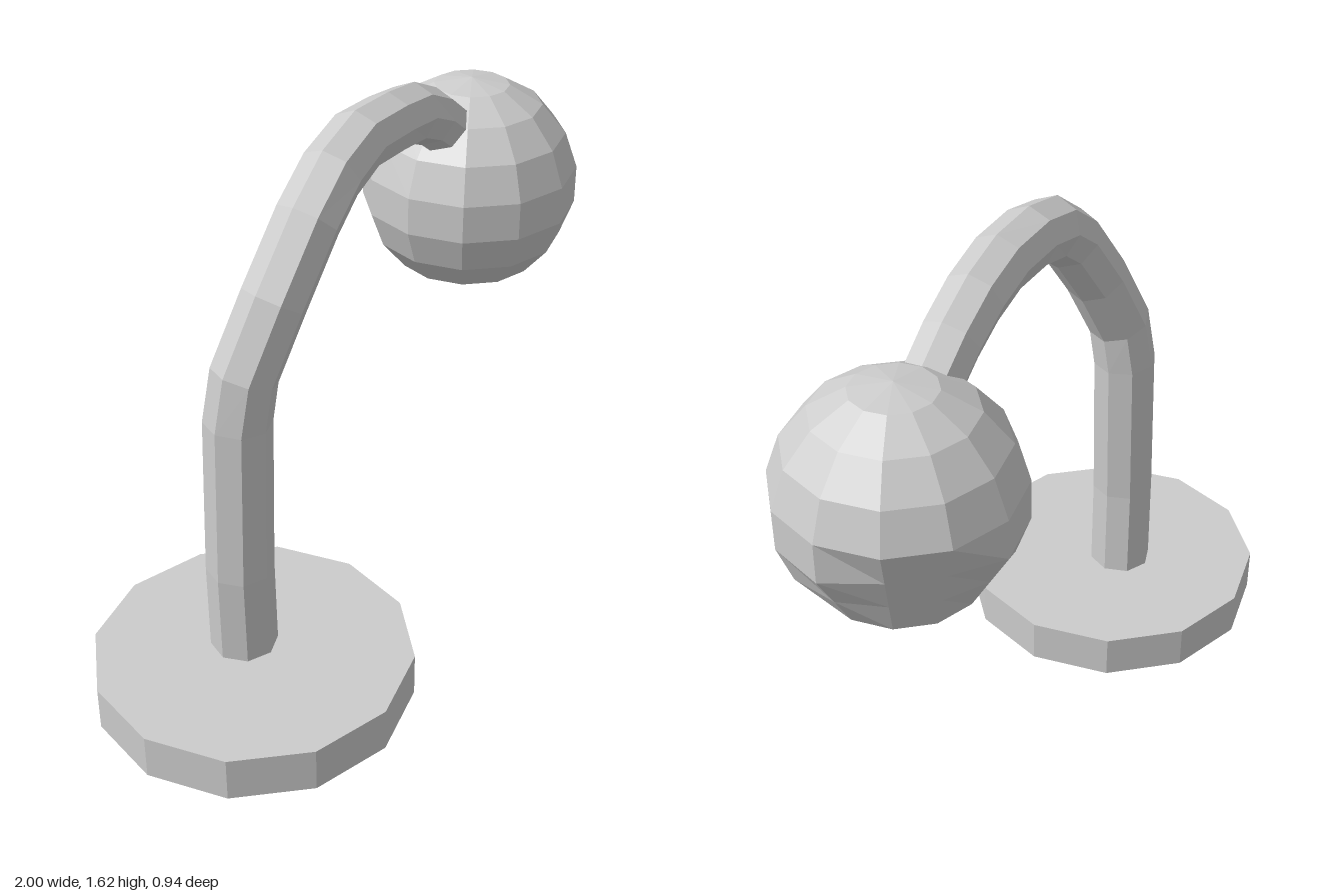
import * as THREE from 'three';

const mat = new THREE.MeshStandardMaterial({ color: 0xcccccc, flatShading: true, side: THREE.DoubleSide });

function addPart(group, name, geometry, x = 0, y = 0, z = 0) {
  const mesh = new THREE.Mesh(geometry, mat);
  mesh.name = name;
  mesh.position.set(x, y, z);
  group.add(mesh);
}

// Straight-segment path that puts one tube ring exactly on every point
class BentPath extends THREE.Curve {
  constructor(points) {
    super();
    this.points = points.map(p => new THREE.Vector3(...p));
  }
  getPoint(t, target = new THREE.Vector3()) {
    const s = t * (this.points.length - 1);
    const i = Math.min(Math.floor(s), this.points.length - 2);
    return target.lerpVectors(this.points[i], this.points[i + 1], s - i);
  }
  getPointAt(u, target) { return this.getPoint(u, target); }
  getTangentAt(u, target) { return this.getTangent(u, target); }
}

// Eight-sided arm, slightly thinner towards the shade
function armGeometry() {
  const path = new BentPath([
    [-0.525, 0.1, -0.04], [-0.54, 0.42, -0.03], [-0.527, 0.9, -0.025], [-0.51, 1.04, -0.01],
    [-0.415, 1.23, 0.02], [-0.28, 1.41, 0.03], [-0.165, 1.495, 0.02], [-0.02, 1.535, 0],
    [0.13, 1.53, -0.01], [0.28, 1.505, -0.035], [0.4, 1.45, -0.05], [0.51, 1.37, -0.06],
  ]);
  const sides = 8, rings = path.points.length - 1;
  const geo = new THREE.TubeGeometry(path, rings, 0.098, sides, false);
  const pos = geo.attributes.position, v = new THREE.Vector3();
  for (let i = 0; i < pos.count; i++) {
    const ring = Math.floor(i / (sides + 1));
    const c = path.points[ring];
    v.fromBufferAttribute(pos, i).sub(c).multiplyScalar(1 - 0.14 * ring / rings).add(c);
    pos.setXYZ(i, v.x, v.y, v.z);
  }
  return geo;
}

// Open-bottomed faceted globe, flattened at its lower back right
function shadeGeometry() {
  const R = 0.335, sides = 12, rings = 7, step = Math.PI / 9;
  const geo = new THREE.SphereGeometry(R, sides, rings, 0, Math.PI * 2, 0, rings * step);
  const pos = geo.attributes.position;
  // side index (from +x towards -z, 30 degrees each) -> ring where the flat begins
  const flatStart = { 0: 5, 1: 4, 2: 4, 3: 5 };
  for (let i = 0; i < pos.count; i++) {
    const ring = Math.floor(i / (sides + 1));
    if (ring === 0) continue;
    const angle = Math.atan2(-pos.getZ(i), pos.getX(i));
    const start = flatStart[Math.round(angle / (Math.PI / 6))];
    if (start === undefined || ring <= start) continue;
    const a = start * step, b = rings * step, t = (ring - start) / (rings - start);
    const r = R * THREE.MathUtils.lerp(Math.sin(a), Math.sin(b), t);
    const y = R * THREE.MathUtils.lerp(Math.cos(a), Math.cos(b), t);
    pos.setXYZ(i, r * Math.cos(angle), y, -r * Math.sin(angle));
  }
  geo.computeVertexNormals();
  return geo;
}

export function createModel() {
  const lamp = new THREE.Group();
  lamp.name = 'deskLamp';
  addPart(lamp, 'base', new THREE.CylinderGeometry(0.468, 0.468, 0.135, 12), -0.532, 0.0675, 0);
  addPart(lamp, 'arm', armGeometry());
  addPart(lamp, 'shade', shadeGeometry(), 0.668, 1.145, -0.075);
  addPart(lamp, 'bulb', new THREE.SphereGeometry(0.1, 8, 6), 0.69, 0.98, -0.09);
  return lamp;
}
